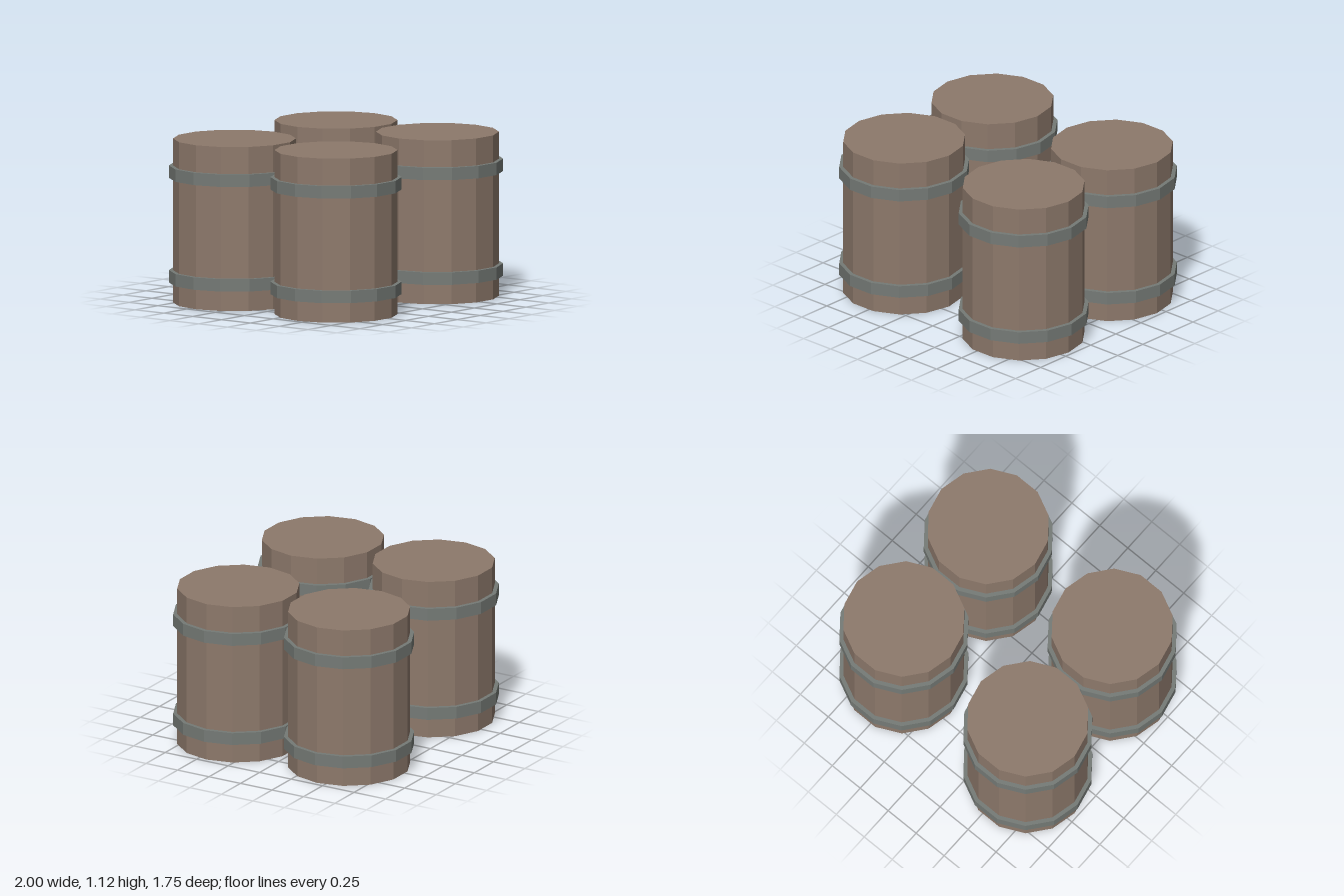
import * as THREE from 'three';

const SIDES = 14;
const HEIGHT = 1.125;
const BODY_RADIUS = 0.418;
const BAND_RADIUS = 0.446;
const BAND_HEIGHT = 0.085;
const BAND_BASES = [0.137, 0.855];

const wood = new THREE.MeshStandardMaterial({ color: 0x8d796b, flatShading: true });
wood.name = 'wood brown';
const metal = new THREE.MeshStandardMaterial({ color: 0x757a76, flatShading: true });
metal.name = 'band grey';

function faceted(geometry) {
  const flat = geometry.toNonIndexed();
  flat.computeVertexNormals();
  return flat;
}

// Closed wooden drum, with corners on the x axis
function makeBody() {
  const geometry = new THREE.CylinderGeometry(
    BODY_RADIUS, BODY_RADIUS, HEIGHT, SIDES, 1, false, Math.PI / 2);
  geometry.translate(0, HEIGHT / 2, 0);
  const body = new THREE.Mesh(faceted(geometry), wood);
  body.name = 'barrelBody';
  return body;
}

// Flat hoop: underside, outer wall and top edge
function makeBand(base) {
  const profile = [
    [BODY_RADIUS, 0], [BAND_RADIUS, 0],
    [BAND_RADIUS, BAND_HEIGHT], [BODY_RADIUS, BAND_HEIGHT],
  ].map(([r, y]) => new THREE.Vector2(r, y));
  const geometry = new THREE.LatheGeometry(profile, SIDES, Math.PI / 2);
  const band = new THREE.Mesh(faceted(geometry), metal);
  band.position.y = base;
  band.name = 'metalBand';
  return band;
}

function makeBarrel() {
  const barrel = new THREE.Group();
  barrel.name = 'barrel';
  barrel.add(makeBody(), ...BAND_BASES.map(makeBand));
  return barrel;
}

export function createModel() {
  const model = new THREE.Group();
  model.name = 'barrels';
  // Two by two arrangement
  for (const x of [-0.554, 0.554]) {
    for (const z of [-0.44, 0.44]) {
      const barrel = makeBarrel();
      barrel.position.set(x, 0, z);
      model.add(barrel);
    }
  }
  return model;
}
